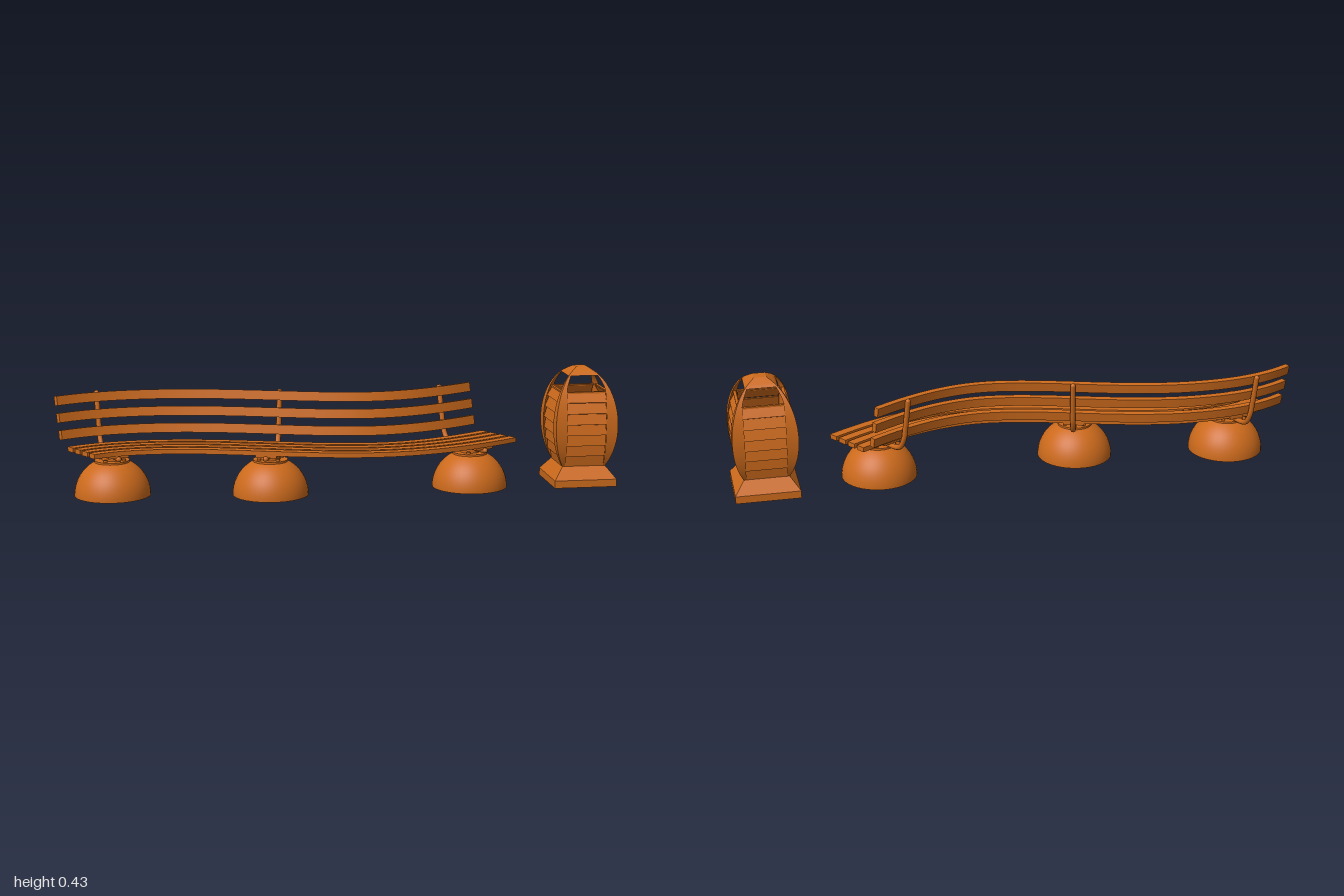
import * as THREE from 'three';
import { toCreasedNormals } from 'three/addons/utils/BufferGeometryUtils.js';

const paint = new THREE.MeshStandardMaterial({ color: 0xcc6a1c });
const paintThin = new THREE.MeshStandardMaterial({ color: 0xcc6a1c, side: THREE.DoubleSide });

function add(parent, name, geometry, material = paint) {
  const mesh = new THREE.Mesh(geometry, material);
  mesh.name = name;
  parent.add(mesh);
  return mesh;
}

// Solid skin through equal-sized rings of points, with closed ends
function loft(rings) {
  const n = rings[0].length, index = [];
  const points = rings.flat();
  for (let r = 0; r < rings.length - 1; r++) {
    for (let i = 0; i < n; i++) {
      const a = r * n + i, b = r * n + (i + 1) % n;
      index.push(a, b, b + n, a, b + n, a + n);
    }
  }
  const last = (rings.length - 1) * n;
  for (let i = 1; i < n - 1; i++) {
    index.push(0, i + 1, i, last, last + i, last + i + 1);
  }
  // Turn the faces outward if the enclosed volume is negative
  let volume = 0;
  const c = new THREE.Vector3();
  for (let i = 0; i < index.length; i += 3) {
    volume += points[index[i]].dot(c.crossVectors(points[index[i + 1]], points[index[i + 2]]));
  }
  if (volume < 0) index.reverse();
  const g = new THREE.BufferGeometry().setFromPoints(points);
  g.setIndex(index);
  return toCreasedNormals(g, 0.6);
}

// Plan of the bench: knots of x, z and slope
const knots = [[-0.913, 0.025, -0.62], [-0.65, -0.039, 0], [0.12, 0.122, 0], [0.598, -0.05, -0.66]];

function planZ(x) {
  let k = 0;
  while (k < knots.length - 2 && x > knots[k + 1][0]) k++;
  const [x0, z0, m0] = knots[k], [x1, z1, m1] = knots[k + 1];
  const h = x1 - x0, t = (x - x0) / h, t2 = t * t, t3 = t2 * t;
  return (2 * t3 - 3 * t2 + 1) * z0 + (t3 - 2 * t2 + t) * h * m0
    + (3 * t2 - 2 * t3) * z1 + (t3 - t2) * h * m1;
}

const slopeAt = (x) => (planZ(x + 0.001) - planZ(x - 0.001)) / 0.002;

// Point at a sideways offset (positive is forward) from the plan curve
function benchPoint(x, offset, y) {
  const s = slopeAt(x), l = Math.hypot(1, s);
  return new THREE.Vector3(x - offset * s / l, y, planZ(x) + offset / l);
}

// Curved slat with a rectangular section, leaning by an angle
function slat(offset, y, width, height, lean) {
  const c = Math.cos(lean), s = Math.sin(lean), rings = [];
  const corners = [[-1, -1], [1, -1], [1, 1], [-1, 1]].map(([a, b]) => {
    const u = a * width / 2, v = b * height / 2;
    return [offset + u * c - v * s, y + u * s + v * c];
  });
  for (let i = 0; i <= 48; i++) {
    const x = knots[0][0] + (knots[3][0] - knots[0][0]) * i / 48;
    rings.push(corners.map(([o, h]) => benchPoint(x, o, h)));
  }
  return loft(rings);
}

function makeBench() {
  const bench = new THREE.Group();
  bench.name = 'bench';
  for (let i = 0; i < 4; i++) {
    add(bench, 'seatSlat', slat(-0.07 + i * 0.0467, 0.164, 0.034, 0.017, 0));
  }
  for (let i = 0; i < 3; i++) {
    add(bench, 'backrestSlat', slat(-0.134 - i * 0.012, 0.206 + i * 0.06, 0.019, 0.034, 0.17));
  }

  const domeRadius = 0.135, cut = Math.acos(0.122 / domeRadius);
  for (const x of [-0.805, -0.25, 0.475]) {
    const support = new THREE.Group();
    support.name = 'support';
    support.position.set(x, 0, planZ(x));
    support.rotation.y = -Math.atan(slopeAt(x));
    bench.add(support);

    // Hollow dome foot with a bolted plate
    add(support, 'domeFoot',
      new THREE.SphereGeometry(domeRadius, 40, 10, 0, Math.PI * 2, cut, Math.PI / 2 - cut), paintThin);
    add(support, 'footPlate', new THREE.CylinderGeometry(0.062, 0.062, 0.009, 32)).position.y = 0.122;
    for (let i = 0; i < 4; i++) {
      const a = Math.PI / 4 + i * Math.PI / 2;
      add(support, 'bolt', new THREE.CylinderGeometry(0.007, 0.007, 0.008, 8))
        .position.set(0.048 * Math.cos(a), 0.13, 0.048 * Math.sin(a));
    }
    add(support, 'hub', new THREE.CylinderGeometry(0.035, 0.035, 0.022, 24)).position.y = 0.135;
    add(support, 'seatBracket', new THREE.BoxGeometry(0.075, 0.008, 0.165)).position.y = 0.151;

    // Bent bar that carries the seat and rises behind the backrest
    const path = new THREE.CatmullRomCurve3(
      [[0.085, 0.144], [0, 0.142], [-0.09, 0.138], [-0.128, 0.15], [-0.15, 0.185], [-0.161, 0.235], [-0.179, 0.337]]
        .map(([z, y]) => new THREE.Vector3(0, y, z)));
    add(support, 'backrestPost', new THREE.TubeGeometry(path, 40, 0.0095, 10));
    for (const t of [0, 1]) {
      const cap = add(support, 'postEnd', new THREE.SphereGeometry(0.0095, 10, 6));
      cap.position.copy(path.getPoint(t));
    }
  }
  return bench;
}

// Half width of the barrel-shaped bin at a height
const binWidth = (y) => 0.114 * Math.sqrt(Math.max(0, 1 - ((y - 0.22) / 0.207) ** 2));

// Square solid from a profile of half widths and heights
function squareLathe(profile) {
  const g = new THREE.LatheGeometry(
    profile.map(([w, y]) => new THREE.Vector2(w * Math.SQRT2, y)), 4, Math.PI / 4);
  return toCreasedNormals(g, 0.1);
}

function makeBin() {
  const bin = new THREE.Group();
  bin.name = 'litterBin';
  bin.position.x = 0.884;

  add(bin, 'binBase', squareLathe([[0.114, 0], [0.114, 0.027], [0.079, 0.072]]), paintThin);
  add(bin, 'binFloor', new THREE.BoxGeometry(0.158, 0.006, 0.158)).position.y = 0.071;
  add(bin, 'binCap', squareLathe(
    [[0, 0.399], [0.057, 0.399], [binWidth(0.408), 0.408], [binWidth(0.417), 0.417], [0.021, 0.426], [0, 0.427]]), paintThin);

  // Leaf-shaped corner rib, narrowing to a strut beside the opening
  const rings = [];
  for (let i = 0; i <= 24; i++) {
    const y = 0.07 + 0.333 * i / 24, w = binWidth(y);
    const inner = Math.min(0.071 - 0.022 * Math.max(0, (y - 0.345) / 0.055) ** 1.5, w - 0.004);
    rings.push([[w, inner], [w, w], [inner, w]].map(([x, z]) => new THREE.Vector3(x, y, z)));
  }
  const rib = loft(rings);

  for (let k = 0; k < 4; k++) {
    const side = new THREE.Group();
    side.name = 'binSide';
    side.rotation.y = k * Math.PI / 2;
    bin.add(side);
    add(side, 'cornerRib', rib);
    // Louvres follow the bulge, each tucked behind the one above
    for (let i = 0; i < 7; i++) {
      const y = 0.093 + i * 0.0387;
      const tangent = Math.atan((binWidth(y + 0.005) - binWidth(y - 0.005)) / 0.01);
      const louvre = add(side, 'louvre', new THREE.BoxGeometry(0.144, 0.04 / Math.cos(tangent), 0.005));
      louvre.position.set(0, y, binWidth(y) - 0.009);
      louvre.rotation.x = tangent - 0.2;
    }
    add(side, 'openingSill', new THREE.BoxGeometry(0.15, 0.006, 0.01)).position.set(0, 0.342, binWidth(0.342) - 0.009);
  }
  return bin;
}

export function createModel() {
  const model = new THREE.Group();
  model.name = 'benchAndBin';
  model.add(makeBench(), makeBin());
  return model;
}
